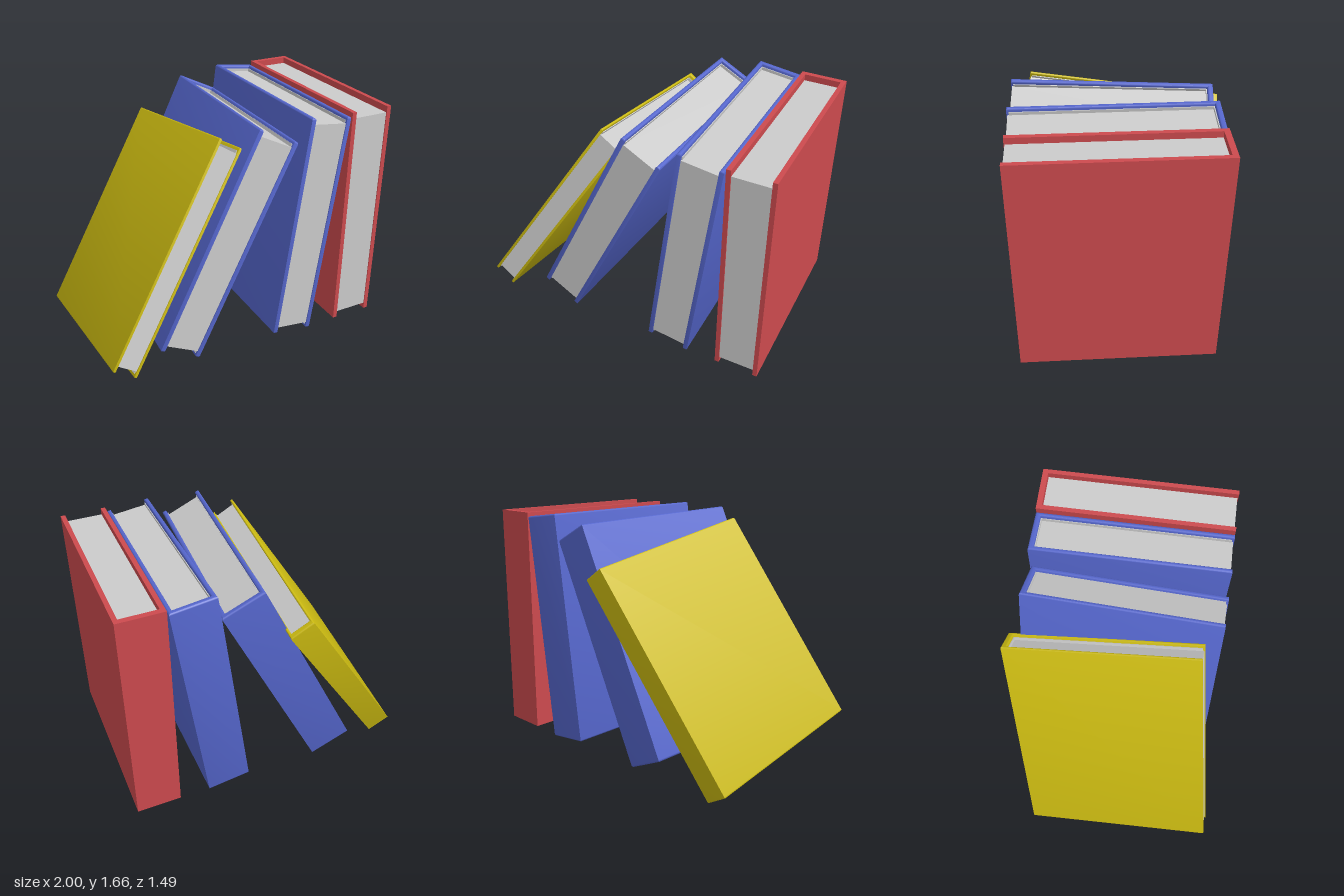
import * as THREE from 'three';
import { toCreasedNormals } from 'three/addons/utils/BufferGeometryUtils.js';

const H = 1.56, D = 1.28;
const deg = THREE.MathUtils.degToRad;

// U-shaped wrapper standing upright: two side boards joined by a back wall at -z
function wrapGeometry(w, h, front, back, side, wall, bevel) {
  const o = w / 2, i = o - side;
  const shape = new THREE.Shape([
    [-o, -front], [-i, -front], [-i, -back - wall], [i, -back - wall],
    [i, -front], [o, -front], [o, -back], [-o, -back],
  ].map(([x, y]) => new THREE.Vector2(x, y)));
  const geo = new THREE.ExtrudeGeometry(shape, {
    depth: h - 2 * bevel,
    bevelEnabled: bevel > 0,
    bevelThickness: bevel,
    bevelSize: bevel,
    bevelOffset: -bevel,
    bevelSegments: 3,
  });
  geo.translate(0, 0, bevel - h / 2);
  geo.rotateX(-Math.PI / 2);
  return toCreasedNormals(geo, deg(35));
}

function makeBook({ name, width, color, bevel, position, rotation, order }) {
  const book = new THREE.Group();
  book.name = name;
  const add = (part, geo, c) => {
    const mesh = new THREE.Mesh(geo, new THREE.MeshStandardMaterial({ color: c }));
    mesh.name = part;
    book.add(mesh);
    return mesh;
  };
  const board = width * 0.1, spine = 0.036;

  // Hard cover: both boards and the spine
  add('cover', wrapGeometry(width, H, D / 2, -D / 2, board, spine, bevel), color);

  // Paper lining on the inside of the rounded covers
  const lining = bevel > 0 ? 0.006 : 0;
  if (lining) {
    add('lining', wrapGeometry(width - 2 * board + 0.002, H - 0.045, D / 2 - 0.015,
      -D / 2 + spine - 0.002, lining, lining + 0.002, 0), 0xcccccc);
  }

  // Page block, set back from the top and bottom of the cover
  const back = -D / 2 + spine, front = D / 2 - 0.006;
  const pages = add('pages',
    new THREE.BoxGeometry(width - 2 * board, H - 0.085, front - back), 0xcccccc);
  pages.position.z = (front + back) / 2;

  book.position.set(...position);
  book.rotation.set(...rotation.map(deg), order);
  return book;
}

export function createModel() {
  const model = new THREE.Group();
  model.name = 'leaningBooks';
  const books = [
    // Upright book at the end of the row
    { name: 'redBook', width: 0.3, color: 0xcc4a4e, bevel: 0,
      position: [0.85, 0.88, 0], rotation: [0, 0, 0], order: 'XYZ' },
    // Books leaning more and more against it
    { name: 'firstBlueBook', width: 0.295, color: 0x5566cc, bevel: 0.012,
      position: [0.445, 0.88, 0], rotation: [0, 0, -7.4], order: 'XYZ' },
    { name: 'secondBlueBook', width: 0.295, color: 0x5566cc, bevel: 0.012,
      position: [-0.135, 0.882, 0], rotation: [0, -3.6, -26], order: 'ZYX' },
    // Thin book, also tipped backwards
    { name: 'yellowBook', width: 0.17, color: 0xccbb11, bevel: 0.008,
      position: [-0.515, 0.805, 0], rotation: [-9.5, 0, -32.4], order: 'XYZ' },
  ];
  books.forEach((b) => model.add(makeBook(b)));
  return model;
}
